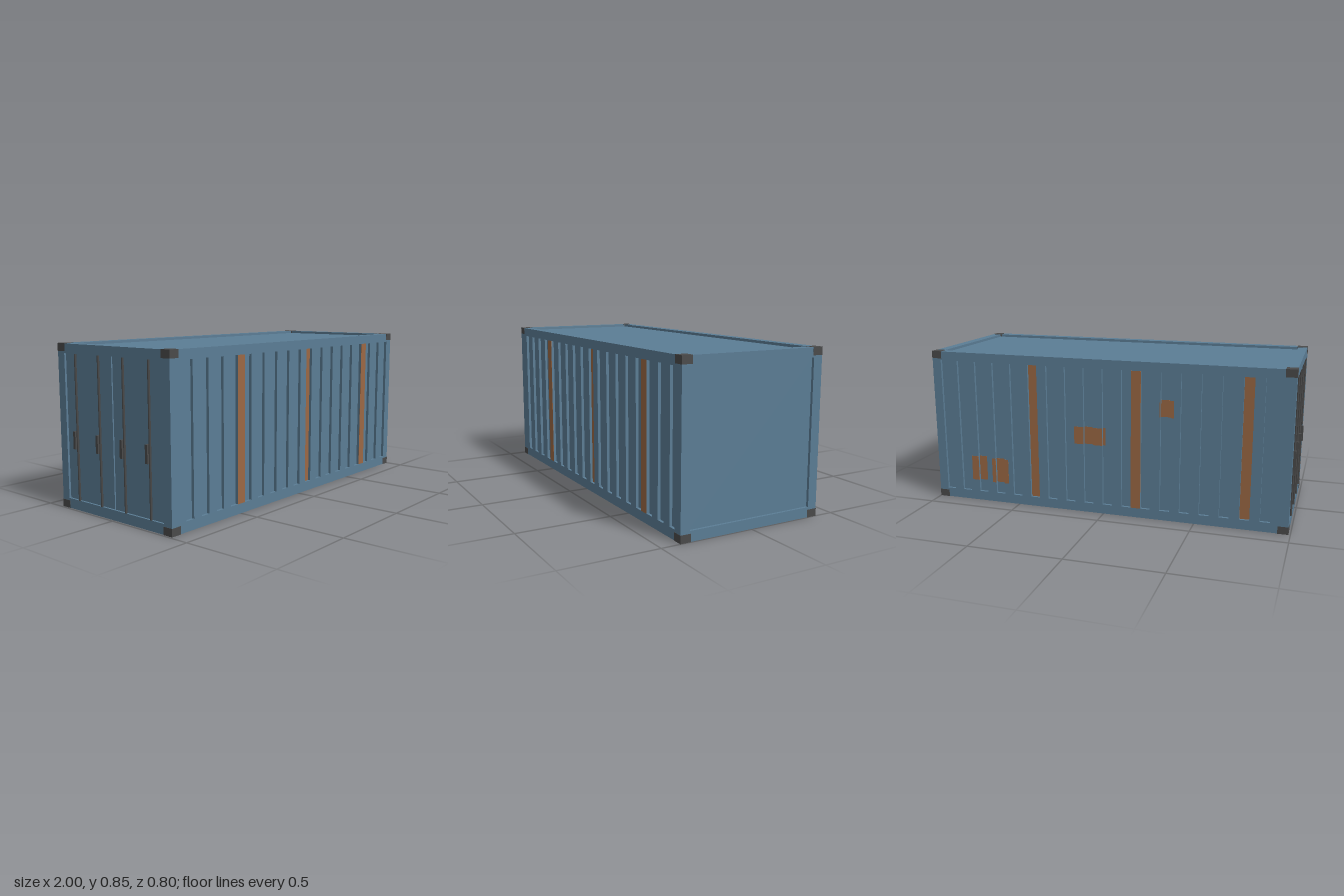
import * as THREE from 'three';

const paint = new THREE.MeshStandardMaterial({ color: 0x5b7d95 });
const rust = new THREE.MeshStandardMaterial({ color: 0x9b6844 });
const dark = new THREE.MeshStandardMaterial({ color: 0x4a4a4a });
const floorMat = new THREE.MeshStandardMaterial({ color: 0x303030 });

// Overall extents of the box and its rails
const X0 = -0.99, X1 = 1, Z = 0.4, H = 0.85, BAR = 0.05, SKIN = 0.001;
const Y0 = 0.053, Y1 = 0.8;
// Corrugation of the long walls
const START = -0.949, PITCH = 0.0529, COUNT = 36, DEPTH = 0.015;
const segX = i => Math.min(START + i * PITCH, X1 - BAR);
const segZ = i => Z - SKIN - (i % 2 ? DEPTH : 0);

export function createModel() {
  const root = new THREE.Group();
  root.name = 'shippingContainer';

  const group = (name, parent = root) => {
    const g = new THREE.Group();
    g.name = name;
    parent.add(g);
    return g;
  };
  // Box given by its minimum and maximum corners
  const box = (name, parent, mat, x0, x1, y0, y1, z0, z1) => {
    const m = new THREE.Mesh(new THREE.BoxGeometry(x1 - x0, y1 - y0, z1 - z0), mat);
    m.position.set((x0 + x1) / 2, (y0 + y1) / 2, (z0 + z1) / 2);
    m.name = name;
    parent.add(m);
    return m;
  };

  // Frame: four long rails, four cross rails, four posts
  const frame = group('frame');
  const a = X0 + SKIN, b = X1 - SKIN, w = Z - SKIN, t = H - SKIN;
  for (const [y0, y1, label] of [[SKIN, Y0, 'bottom'], [Y1, t, 'top']]) {
    for (const s of [-1, 1]) {
      const z = s * (w - BAR / 2);
      box(label + 'SideRail', frame, paint, a, b, y0, y1, z - BAR / 2, z + BAR / 2);
    }
    box(label + 'DoorRail', frame, paint, a, a + BAR, y0, y1, -w + BAR, w - BAR);
    box(label + 'EndRail', frame, paint, b - BAR, b, y0, y1, -w + BAR, w - BAR);
  }
  for (const x of [a, b - BAR])
    for (const z of [-w, w - BAR])
      box('cornerPost', frame, paint, x, x + BAR, Y0, Y1, z, z + BAR);

  // Dark castings on all eight corners
  const castings = group('cornerCastings');
  for (const x of [X0, X1 - 0.056])
    for (const y of [0, H - 0.04])
      for (const z of [-Z, Z - 0.056])
        box('cornerCasting', castings, dark, x, x + 0.056, y, y + 0.04, z, z + 0.056);

  // Corrugated long walls, extruded upward from a square-wave plan
  for (const [s, name] of [[1, 'frontWall'], [-1, 'backWall']]) {
    const plan = new THREE.Shape();
    const back = Z - 0.035;
    plan.moveTo(segX(0), -s * back);
    for (let i = 0; i < COUNT; i++) {
      plan.lineTo(segX(i), -s * segZ(i));
      plan.lineTo(segX(i + 1), -s * segZ(i));
    }
    plan.lineTo(segX(COUNT), -s * back);
    const geo = new THREE.ExtrudeGeometry(plan, { depth: Y1 - Y0, bevelEnabled: false });
    geo.rotateX(-Math.PI / 2);
    const wall = new THREE.Mesh(geo, paint);
    wall.position.y = Y0;
    wall.name = name;
    root.add(wall);
  }

  // Rust laid over the corrugation, following its steps
  const rustGroup = group('rust');
  const rustArea = (name, s, x0, x1, y0, y1) => {
    for (let i = 0; i < COUNT; i++) {
      const l = Math.max(x0, segX(i)), r = Math.min(x1, segX(i + 1));
      if (r - l < 0.003) continue;
      const z = s * segZ(i);
      box(name, rustGroup, rust, l, r, y0, y1, z - SKIN, z + SKIN);
    }
  };
  const strip = (s, i) => rustArea('rustStrip', s, segX(i), segX(i + 1), Y0, Y1);
  [8, 19, 30].forEach(i => strip(1, i));
  [3, 14, 25].forEach(i => strip(-1, i));
  rustArea('rustPatch', -1, 0.69, 0.785, 0.12, 0.26);
  rustArea('rustPatch', -1, 0.56, 0.66, 0.115, 0.255);
  rustArea('rustPatch', -1, -0.01, 0.165, 0.385, 0.48);
  rustArea('rustPatch', -1, -0.385, -0.31, 0.565, 0.655);

  // Inset roof, floor and plain end panel
  const in0 = a + BAR, in1 = b - BAR, inZ = w - BAR;
  box('roof', root, paint, in0, in1, H - 0.035, H - 0.015, -inZ, inZ);
  box('floor', root, floorMat, in0, in1, 0.02, 0.04, -inZ, inZ);
  box('endPanel', root, paint, X1 - 0.035, X1 - 0.015, Y0, Y1, -inZ, inZ);

  // Double doors with locking rods and handles
  const doors = group('doors');
  const face = X0 + 0.012;
  box('doorBacking', doors, dark, face + 0.015, face + 0.025, Y0, Y1, -inZ, inZ);
  for (const s of [-1, 1]) {
    const door = group(s < 0 ? 'rightDoor' : 'leftDoor', doors);
    const z = s * (0.004 + inZ) / 2, half = (inZ - 0.004) / 2;
    box('doorPanel', door, paint, face, face + 0.02, Y0, Y1, z - half, z + half);
    for (const rz of [s * 0.088, s * 0.263]) {
      const rod = new THREE.Mesh(new THREE.CylinderGeometry(0.006, 0.006, Y1 - Y0, 8), dark);
      rod.position.set(face - 0.01, (Y0 + Y1) / 2, rz);
      rod.name = 'lockingRod';
      door.add(rod);
      box('handle', door, dark, X0 - 0.01, face, 0.32, 0.41, rz - 0.022, rz - 0.006);
    }
  }
  return root;
}
